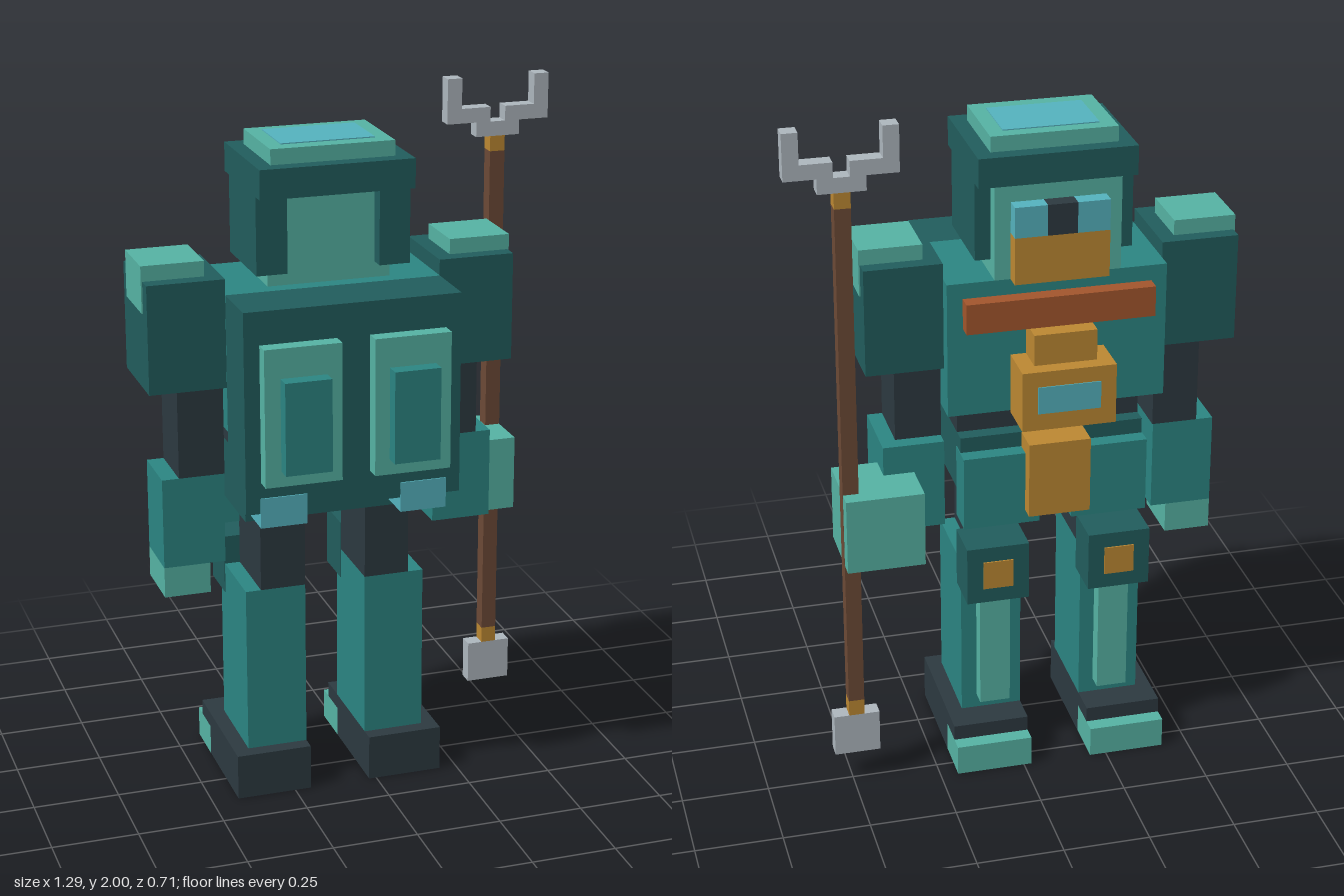
import * as THREE from 'three';

const mat = (name, color) => {
  const m = new THREE.MeshStandardMaterial({ color });
  m.name = name;
  return m;
};

export function createModel() {
  const root = new THREE.Group();
  root.name = 'armouredDiver';

  const dark = mat('dark green', 0x225e5e);
  const teal = mat('teal', 0x2c8784);
  const mint = mat('light teal', 0x57b5a6);
  const coal = mat('charcoal', 0x2d3a41);
  const brass = mat('brass', 0xbf8a33);
  const wood = mat('wood brown', 0x6e4b37);
  const rust = mat('rust', 0xa5572d);
  const cyan = mat('cyan', 0x56b5c1);
  const steel = mat('steel', 0xb0b9c0);

  const group = (name) => {
    const g = new THREE.Group();
    g.name = name;
    root.add(g);
    return g;
  };

  // Block given by its lower and upper limits on each axis
  const box = (parent, name, m, x0, x1, y0, y1, z0, z1) => {
    const mesh = new THREE.Mesh(new THREE.BoxGeometry(x1 - x0, y1 - y0, z1 - z0), m);
    mesh.position.set((x0 + x1) / 2, (y0 + y1) / 2, (z0 + z1) / 2);
    mesh.name = name;
    parent.add(mesh);
    return mesh;
  };

  // Same block on both sides of the body's own centre line
  const CX = -0.112;
  const pair = (parent, name, m, x0, x1, ...rest) => {
    box(parent, name + 'Left', m, CX + x0, CX + x1, ...rest);
    box(parent, name + 'Right', m, CX - x1, CX - x0, ...rest);
  };
  const mid = (parent, name, m, half, ...rest) => box(parent, name, m, CX - half, CX + half, ...rest);

  // Head and helmet
  const head = group('head');
  mid(head, 'hood', mint, 0.178, 1.515, 1.783, -0.222, 0.045);
  pair(head, 'helmetCheek', dark, 0.133, 0.222, 1.56, 1.783, -0.178, 0.09);
  mid(head, 'helmetBrim', dark, 0.222, 1.783, 1.867, -0.222, 0.133);
  mid(head, 'helmetCap', mint, 0.178, 1.867, 1.911, -0.178, 0.088);
  mid(head, 'capPlate', cyan, 0.135, 1.911, 1.914, -0.14, 0.042);
  mid(head, 'mask', brass, 0.133, 1.515, 1.65, -0.267, -0.222);
  pair(head, 'eye', cyan, 0.042, 0.133, 1.65, 1.738, -0.267, -0.222);
  mid(head, 'noseBridge', coal, 0.042, 1.65, 1.738, -0.267, -0.222);

  // Torso
  const torso = group('torso');
  mid(torso, 'chest', teal, 0.311, 1.12, 1.515, -0.222, 0.09);
  mid(torso, 'waist', coal, 0.265, 1.025, 1.12, -0.133, 0.09);
  mid(torso, 'hips', dark, 0.265, 0.845, 1.025, -0.176, 0.09);
  mid(torso, 'chestStrap', rust, 0.267, 1.382, 1.47, -0.267, -0.222);
  mid(torso, 'gaugeBox', brass, 0.133, 1.115, 1.29, -0.354, -0.222);
  mid(torso, 'gaugeKnob', brass, 0.089, 1.29, 1.38, -0.311, -0.222);
  mid(torso, 'gaugeScreen', cyan, 0.089, 1.165, 1.245, -0.357, -0.353);
  mid(torso, 'beltPouch', brass, 0.089, 0.8, 1.025, -0.265, -0.176);
  pair(torso, 'hipGuard', teal, 0.047, 0.267, 0.76, 0.98, -0.222, -0.13);

  // Backpack
  const pack = group('backpack');
  mid(pack, 'packBody', dark, 0.311, 0.935, 1.515, 0.09, 0.266);
  pair(pack, 'packPanel', mint, 0.047, 0.267, 1.025, 1.42, 0.266, 0.311);
  pair(pack, 'packTank', teal, 0.089, 0.222, 1.07, 1.335, 0.311, 0.355);
  pair(pack, 'packJet', cyan, 0.136, 0.27, 0.893, 0.98, 0.135, 0.27);

  // Legs
  const legs = group('legs');
  pair(legs, 'thigh', coal, 0.09, 0.222, 0.63, 0.845, -0.133, 0.09);
  pair(legs, 'shin', teal, 0.09, 0.267, 0.135, 0.63, -0.176, 0.09);
  pair(legs, 'shinGuard', mint, 0.133, 0.222, 0.178, 0.54, -0.222, -0.176);
  pair(legs, 'kneePad', dark, 0.088, 0.269, 0.54, 0.715, -0.265, -0.133);
  pair(legs, 'kneeBadge', brass, 0.135, 0.222, 0.585, 0.67, -0.269, -0.264);
  pair(legs, 'bootSole', coal, 0.09, 0.311, 0, 0.09, -0.175, 0.133);
  pair(legs, 'bootTop', coal, 0.09, 0.311, 0.09, 0.135, -0.267, 0.133);
  pair(legs, 'toeCap', mint, 0.09, 0.311, 0, 0.09, -0.311, -0.175);

  // Arms
  const arms = group('arms');
  pair(arms, 'shoulder', dark, 0.311, 0.531, 1.248, 1.56, -0.178, 0.088);
  pair(arms, 'shoulderPad', mint, 0.357, 0.535, 1.47, 1.604, -0.135, 0.043);
  pair(arms, 'upperArm', coal, 0.311, 0.443, 0.98, 1.248, -0.133, 0.045);
  box(arms, 'rightForearm', teal, -0.604, -0.425, 0.715, 0.98, -0.133, 0.045);
  box(arms, 'rightHand', mint, -0.604, -0.47, 0.625, 0.715, -0.133, 0.045);
  box(arms, 'leftForearm', teal, 0.2, 0.375, 0.76, 1.022, -0.176, 0.045);
  box(arms, 'leftHand', mint, 0.287, 0.508, 0.715, 0.937, -0.311, -0.092);

  // Forked staff
  const staff = group('staff');
  const SX = 0.486, Z0 = -0.266, Z1 = -0.221;
  const rod = (name, m, half, y0, y1) => box(staff, name, m, SX - half, SX + half, y0, y1, Z0, Z1);
  rod('staffShaft', wood, 0.0225, 0.27, 1.78);
  rod('topCollar', brass, 0.0225, 1.78, 1.825);
  rod('bottomCollar', brass, 0.0225, 0.222, 0.27);
  rod('staffWeight', steel, 0.066, 0.095, 0.222);

  // Fork outline: one half, mirrored to the other side
  const half = [[0.066, 1.825], [0.066, 1.868], [0.155, 1.868], [0.155, 2],
    [0.111, 2], [0.111, 1.911], [0.0225, 1.911], [0.0225, 1.868]];
  const outline = [...half, ...half.map(([x, y]) => [-x, y]).reverse()];
  const shape = new THREE.Shape(outline.map(([x, y]) => new THREE.Vector2(x, y)));
  const fork = new THREE.Mesh(
    new THREE.ExtrudeGeometry(shape, { depth: Z1 - Z0, bevelEnabled: false }), steel);
  fork.position.set(SX, 0, Z0);
  fork.name = 'fork';
  staff.add(fork);

  return root;
}
